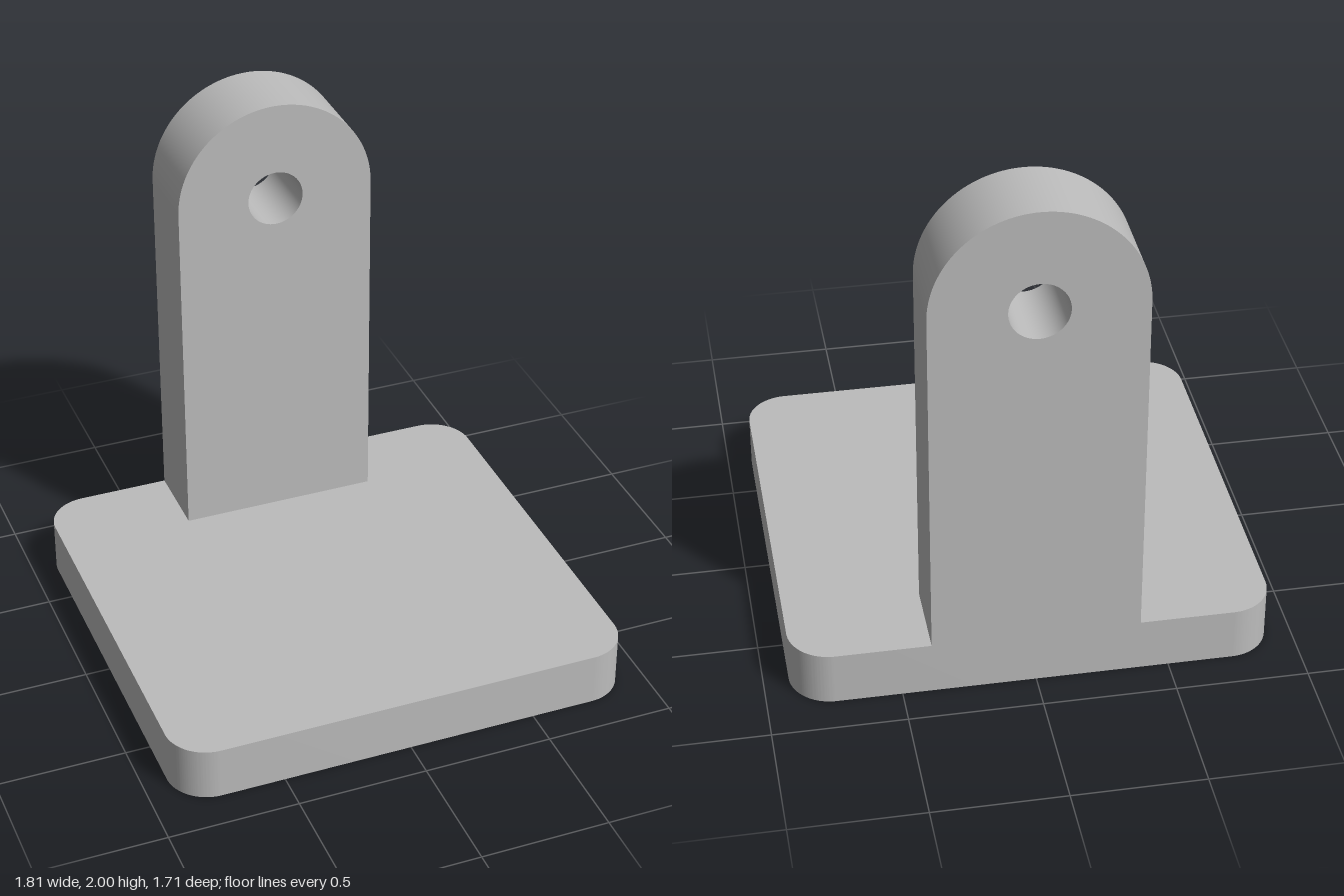
import * as THREE from 'three';
import { toCreasedNormals } from 'three/addons/utils/BufferGeometryUtils.js';

const HALF_W = 0.905, HALF_D = 0.855, PLATE_H = 0.21, CORNER = 0.16;
const LUG_R = 0.39, LUG_DEPTH = 0.31, HOLE_Y = 1.61, HOLE_R = 0.11;

// Extrude a flat outline, keeping edges sharp and curves smooth
function extrude(shape, depth) {
  const geometry = new THREE.ExtrudeGeometry(shape, { depth, bevelEnabled: false, curveSegments: 32 });
  return toCreasedNormals(geometry, Math.PI / 6);
}

// Rectangle with rounded corners, centred on the origin
function roundedRect(w, d, r) {
  const s = new THREE.Shape();
  s.absarc(w - r, d - r, r, 0, Math.PI / 2);
  s.absarc(-w + r, d - r, r, Math.PI / 2, Math.PI);
  s.absarc(-w + r, -d + r, r, Math.PI, Math.PI * 1.5);
  s.absarc(w - r, -d + r, r, Math.PI * 1.5, Math.PI * 2);
  s.closePath();
  return s;
}

export function createModel() {
  const group = new THREE.Group();
  group.name = 'mountingBracket';
  const grey = new THREE.MeshStandardMaterial({ color: 0xbcbcbc });
  grey.name = 'grey';

  // Base plate lying on the ground
  const plate = new THREE.Mesh(extrude(roundedRect(HALF_W, HALF_D, CORNER), PLATE_H), grey);
  plate.name = 'basePlate';
  plate.rotation.x = -Math.PI / 2;
  group.add(plate);

  // Round-topped upright with a through hole, flush with the back edge
  const outline = new THREE.Shape();
  outline.moveTo(-LUG_R, PLATE_H);
  outline.lineTo(LUG_R, PLATE_H);
  outline.absarc(0, HOLE_Y, LUG_R, 0, Math.PI);
  outline.closePath();
  const hole = new THREE.Path();
  hole.absarc(0, HOLE_Y, HOLE_R, 0, Math.PI * 2, true);
  outline.holes.push(hole);
  const upright = new THREE.Mesh(extrude(outline, LUG_DEPTH), grey);
  upright.name = 'upright';
  upright.position.z = -HALF_D;
  group.add(upright);

  return group;
}
